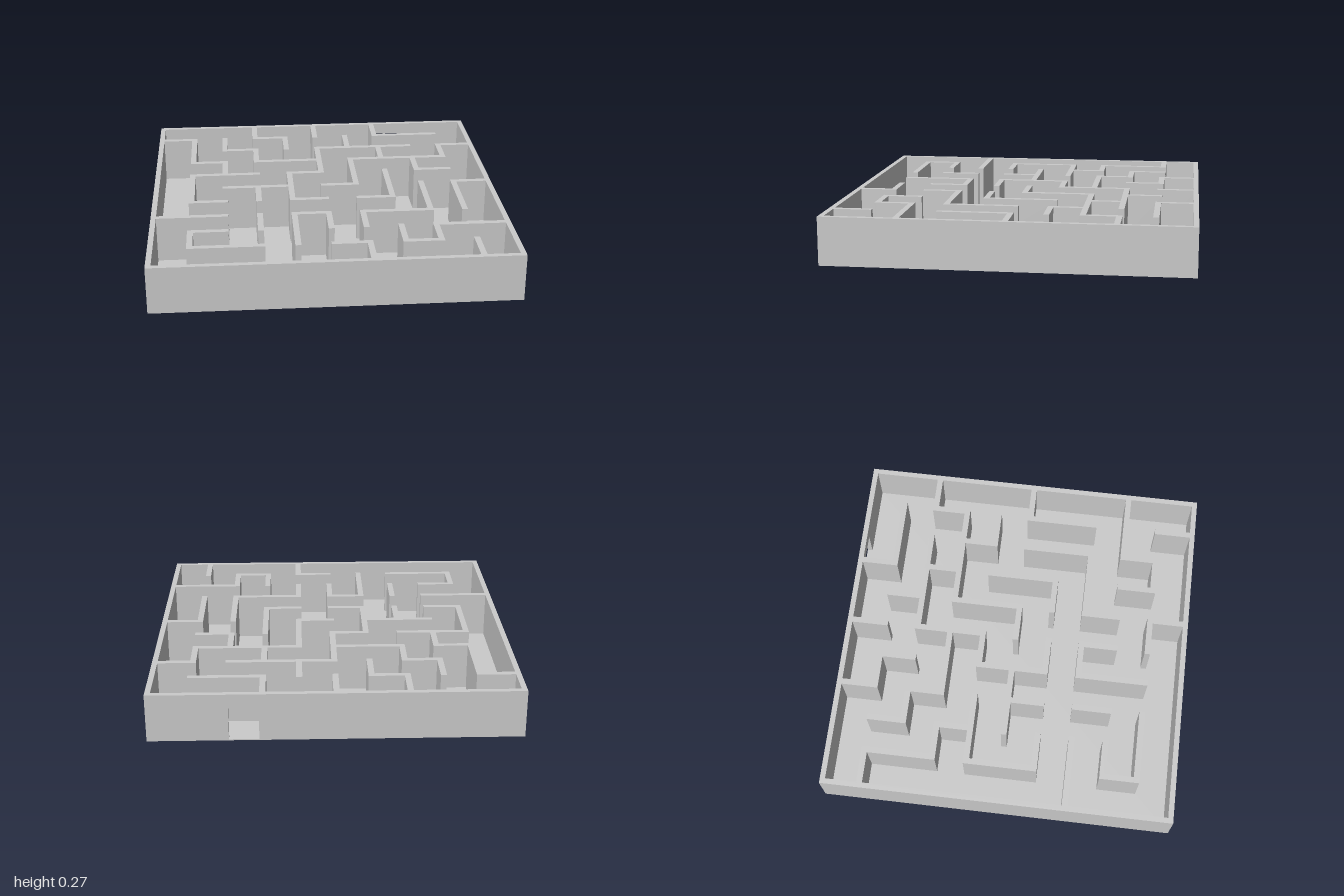
import * as THREE from 'three';

const HEIGHT = 0.267; // overall height
const FLOOR = 0.006; // floor thickness
const CELL = 0.194; // maze grid spacing
const WALL = 0.033; // inner wall thickness
const RIM = 0.03; // outer wall thickness
const DOOR = { left: 0.407, right: 0.567, top: 0.2 };

// Inner wall runs: grid start x and z (-5 to 5), then signed steps
// that turn a right angle each time. These set off along x.
const RUNS_ALONG_X = [
  [-5, -4, 1, 2, 1, 1],
  [-2, -1, -2, 2, 1],
  [3, -3, -3, 2, -1, 2, 1],
  [0, 0, 1, -2, 3, -1, 1],
  [-3, 0, 2],
  [-5, 2, 2],
  [5, 0, -1, 2],
  [-3, 3, -1, 1, 2],
  [0, 4, 1, 1],
];
// These set off along z.
const RUNS_ALONG_Z = [
  [-3, -4, 1, 1, 1, 2],
  [1, -4, 1],
  [2, -3, 1],
  [3, -2, 1, 1],
  [-2, -5, 1, 1, 1],
  [0, -5, 1],
  [2, -5, 1, 2],
  [-2, 0, 1],
  [2, -1, 2, -1],
  [3, 0, 2, -2, 1],
  [-2, 2, 1],
  [-1, 4, -2, 1, 1],
  [2, 3, 1, 1, -1, 2],
  [4, 4, 1],
];

export function createModel() {
  const model = new THREE.Group();
  model.name = 'maze';
  const material = new THREE.MeshStandardMaterial({ color: 0xcccccc, flatShading: true });

  // Box given by its lower and upper limits on each axis
  function addBox(parent, name, [x0, x1], [y0, y1], [z0, z1]) {
    const mesh = new THREE.Mesh(new THREE.BoxGeometry(x1 - x0, y1 - y0, z1 - z0), material);
    mesh.position.set((x0 + x1) / 2, (y0 + y1) / 2, (z0 + z1) / 2);
    mesh.name = name;
    parent.add(mesh);
  }

  // Floor
  addBox(model, 'floor', [-1, 1], [0, FLOOR], [-1, 1]);

  // Outer walls, with a doorway through the back one
  const outer = new THREE.Group();
  outer.name = 'outerWalls';
  model.add(outer);
  const rise = [FLOOR, HEIGHT];
  const back = [-1, -1 + RIM];
  addBox(outer, 'leftWall', [1 - RIM, 1], rise, [-1, 1]);
  addBox(outer, 'rightWall', [-1, -1 + RIM], rise, [-1, 1]);
  addBox(outer, 'frontWall', [-1 + RIM, 1 - RIM], rise, [1 - RIM, 1]);
  addBox(outer, 'backWallRight', [-1 + RIM, DOOR.left], rise, back);
  addBox(outer, 'backWallLeft', [DOOR.right, 1 - RIM], rise, back);
  addBox(outer, 'doorLintel', [DOOR.left, DOOR.right], [DOOR.top, HEIGHT], back);

  // Inner walls, one box for each straight stretch
  const inner = new THREE.Group();
  inner.name = 'innerWalls';
  model.add(inner);
  const span = (a, b) => [Math.min(a, b) * CELL - WALL / 2, Math.max(a, b) * CELL + WALL / 2];
  function addRun([startX, startZ, ...steps], alongX) {
    let x = startX;
    let z = startZ;
    for (const step of steps) {
      const nextX = alongX ? x + step : x;
      const nextZ = alongX ? z : z + step;
      addBox(inner, 'innerWall', span(x, nextX), rise, span(z, nextZ));
      x = nextX;
      z = nextZ;
      alongX = !alongX;
    }
  }
  for (const run of RUNS_ALONG_X) addRun(run, true);
  for (const run of RUNS_ALONG_Z) addRun(run, false);

  return model;
}
